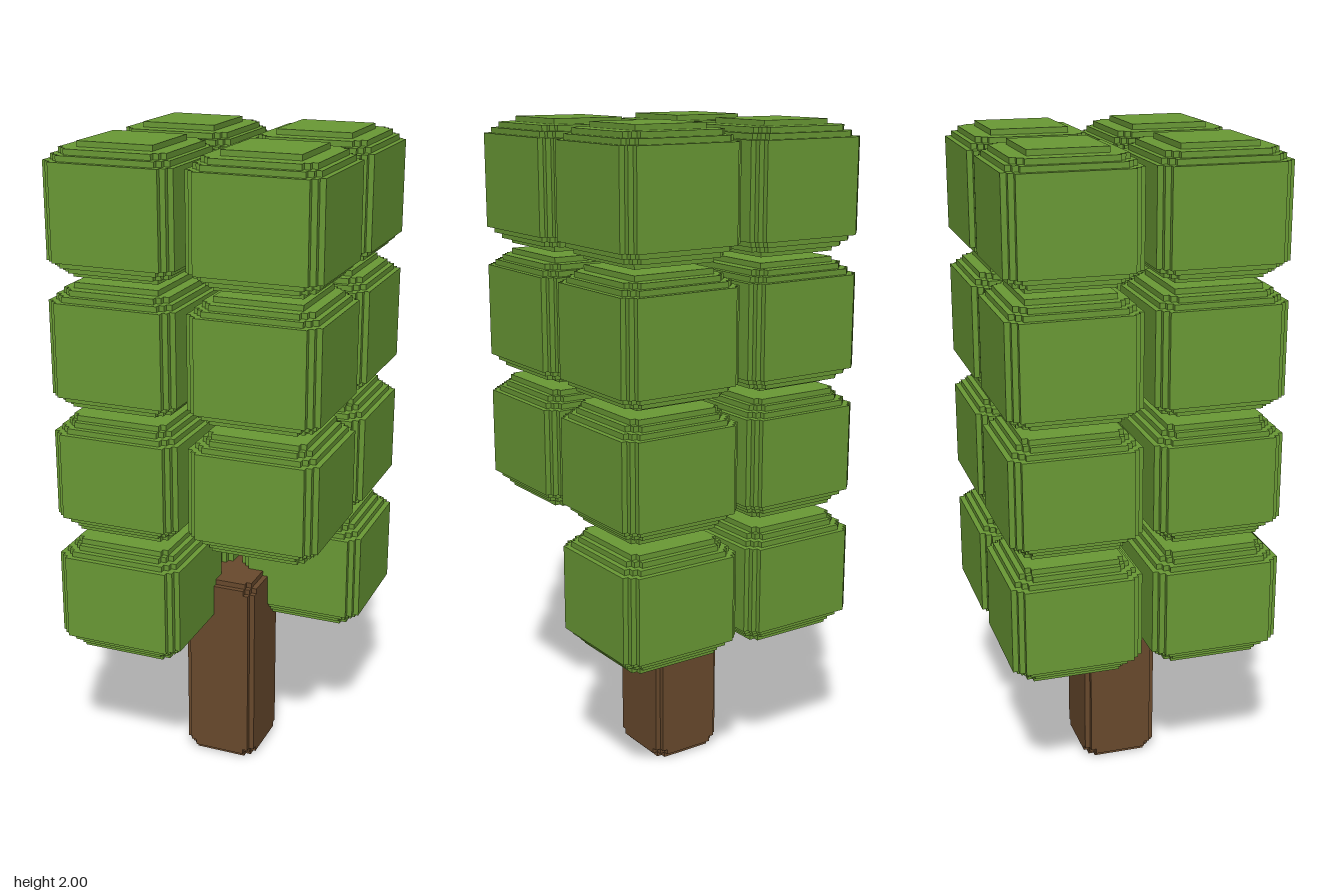
import * as THREE from 'three';
import { mergeGeometries } from 'three/addons/utils/BufferGeometryUtils.js';

const V = 2 / 122; // one voxel step

// Square outline with stair-stepped corners (sizes in voxels)
function steppedSquare(half, cut) {
  const corner = [];
  for (let k = 0; k <= cut; k++) {
    corner.push([half - k, half - cut + k]);
    if (k < cut) corner.push([half - k - 1, half - cut + k]);
  }
  const points = [];
  for (let q = 0; q < 4; q++) {
    for (const [x, y] of corner) {
      const [a, b] = [[x, y], [-y, x], [-x, -y], [y, -x]][q];
      points.push(new THREE.Vector2(a * V, b * V));
    }
  }
  return new THREE.Shape(points);
}

// Stack of slabs; each row is [inset, corner cut], one voxel tall.
// The tall middle slab fills the space between bottom and top rows.
function steppedBlock(half, y0, y1, bottomRows, topRows, midCut) {
  const slabs = [];
  const add = (from, to, inset, cut) => {
    const geo = new THREE.ExtrudeGeometry(steppedSquare(half - inset, cut), {
      depth: (to - from) * V, bevelEnabled: false,
    });
    geo.rotateX(-Math.PI / 2);
    geo.translate(0, from * V, 0);
    slabs.push(geo);
  };
  bottomRows.forEach(([inset, cut], i) => add(y0 + i, y0 + i + 1, inset, cut));
  topRows.forEach(([inset, cut], i) => add(y1 - i - 1, y1 - i, inset, cut));
  add(y0 + bottomRows.length, y1 - topRows.length, 0, midCut);
  return mergeGeometries(slabs);
}

// Rounded rows for a leaf block, starting with its end plate
const leafRows = (plateInset) => [
  [plateInset, plateInset > 3 ? 0 : 1], [2, 2], [1, 2],
];

export function createModel() {
  const group = new THREE.Group();
  const leaf = new THREE.MeshStandardMaterial({ color: 0x6a9a35 });
  leaf.name = 'leafGreen';
  const bark = new THREE.MeshStandardMaterial({ color: 0x694a2d });
  bark.name = 'barkBrown';

  // Trunk
  const trunk = new THREE.Mesh(
    steppedBlock(7, 0, 38, [[1, 1], [0, 2]], [[1, 1], [0, 2]], 1), bark);
  trunk.name = 'trunk';
  group.add(trunk);

  // Foliage: four layers of 2 x 2 blocks, the lowest without its front left one
  const layers = [
    { y0: 28, y1: 50, bottom: 3, top: 3 },
    { y0: 52, y1: 74, bottom: 3, top: 3 },
    { y0: 75, y1: 98, bottom: 5, top: 4 },
    { y0: 99, y1: 122, bottom: 4, top: 5 },
  ];
  layers.forEach(({ y0, y1, bottom, top }, i) => {
    const layer = new THREE.Group();
    layer.name = `foliageLayer${i + 1}`;
    const geo = steppedBlock(12, y0, y1, leafRows(bottom), leafRows(top), 2);
    for (const sx of [-1, 1]) {
      for (const sz of [-1, 1]) {
        if (i === 0 && sx > 0 && sz > 0) continue;
        const block = new THREE.Mesh(geo, leaf);
        block.name = `leafBlock${sz > 0 ? 'Front' : 'Back'}${sx > 0 ? 'Left' : 'Right'}`;
        block.position.set(sx * 13 * V, 0, sz * 13 * V);
        layer.add(block);
      }
    }
    group.add(layer);
  });
  return group;
}
